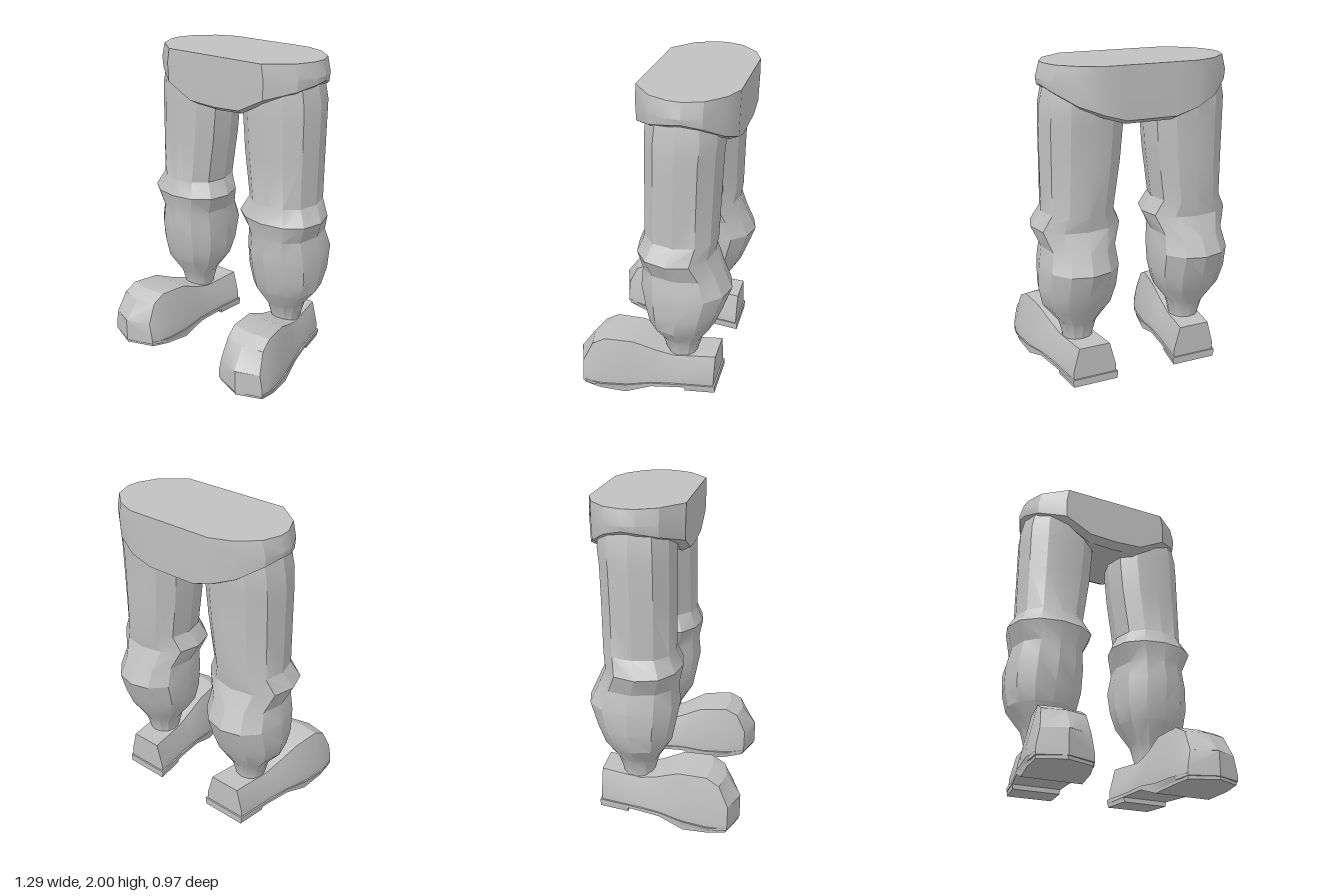
import * as THREE from 'three';
import { toCreasedNormals } from 'three/addons/utils/BufferGeometryUtils.js';

const grey = new THREE.MeshStandardMaterial({ color: 0xc0c0c0 });
grey.name = 'plain grey';

// Skins a list of closed rings and caps both ends; faces are turned outward.
function loft(rings, crease = 0.45) {
  const tris = [];
  const add = (a, b, c) => {
    const n = b.clone().sub(a).cross(c.clone().sub(a));
    if (n.length() > 1e-7) tris.push([a, b, c]);
  };
  const n = rings[0].length;
  for (let i = 0; i < rings.length - 1; i++) {
    for (let j = 0; j < n; j++) {
      const k = (j + 1) % n;
      const [a, b, c, d] = [rings[i][j], rings[i][k], rings[i + 1][k], rings[i + 1][j]];
      add(a, b, c);
      add(a, c, d);
    }
  }
  const cap = (ring, flip) => {
    const mid = ring.reduce((s, p) => s.add(p), new THREE.Vector3()).divideScalar(n);
    for (let j = 0; j < n; j++) {
      const k = (j + 1) % n;
      if (flip) add(mid, ring[k], ring[j]);
      else add(mid, ring[j], ring[k]);
    }
  };
  cap(rings[0], true);
  cap(rings[rings.length - 1], false);
  const volume = tris.reduce((s, [a, b, c]) => s + a.dot(b.clone().cross(c)), 0);
  const points = tris.flatMap(([a, b, c]) => (volume > 0 ? [a, b, c] : [a, c, b]));
  return toCreasedNormals(new THREE.BufferGeometry().setFromPoints(points), crease);
}

function part(name, geometry) {
  const mesh = new THREE.Mesh(geometry, grey);
  mesh.name = name;
  return mesh;
}

// Each leg ring: y, inner x, outer x, back z, front z
const LEG = [
  [1.86, 0.11, 0.555, -0.40, 0.05],
  [1.75, 0.08, 0.58, -0.41, 0.06],
  [1.64, 0.075, 0.585, -0.40, 0.06],
  [1.42, 0.095, 0.585, -0.395, 0.06],
  [1.12, 0.14, 0.585, -0.39, 0.06],
  [1.02, 0.085, 0.645, -0.375, 0.10],
  [0.9, 0.14, 0.595, -0.43, 0.075],
  [0.78, 0.13, 0.62, -0.485, 0.085],
  [0.63, 0.135, 0.625, -0.435, 0.055],
  [0.51, 0.165, 0.6, -0.39, 0.03],
  [0.38, 0.26, 0.5, -0.31, -0.05],
  [0.28, 0.285, 0.475, -0.28, -0.08],
  [0.22, 0.285, 0.475, -0.28, -0.08],
];

function leg(side) {
  const sides = 12;
  return loft(LEG.map(([y, x0, x1, z0, z1]) => {
    const ring = [];
    for (let i = 0; i < sides; i++) {
      const a = (i / sides) * Math.PI * 2;
      const x = (x0 + x1) / 2 + Math.cos(a) * (x1 - x0) / 2;
      // flattened front and back
      const s = Math.sign(Math.sin(a)) * Math.pow(Math.abs(Math.sin(a)), 0.85);
      ring.push(new THREE.Vector3(side * x, y, (z0 + z1) / 2 + s * (z1 - z0) / 2));
    }
    return ring;
  }));
}

// Foot sections: z, bottom y, top y, half width below, half width above, bow of the middle
const UPPER = [
  [-0.41, 0.06, 0.28, 0.14, 0.1, 0],
  [-0.15, 0.06, 0.265, 0.15, 0.1, 0],
  [-0.04, 0.06, 0.3, 0.165, 0.11, 0],
  [0.1, 0.05, 0.365, 0.18, 0.13, 0],
  [0.28, 0.04, 0.375, 0.19, 0.135, 0.02],
  [0.36, 0.04, 0.33, 0.185, 0.135, 0.03],
  [0.42, 0.05, 0.2, 0.17, 0.15, 0.06],
  [0.48, 0.05, 0.2, 0, 0, 0],
];
const SOLE = [
  [-0.42, 0.05, 0.075, 0.15, 0.15, 0],
  [-0.2, 0.055, 0.075, 0.158, 0.158, 0],
  [-0.02, 0.055, 0.08, 0.175, 0.175, 0],
  [0.14, 0, 0.06, 0.185, 0.192, 0],
  [0.3, 0.015, 0.06, 0.185, 0.2, 0.02],
  [0.41, 0.03, 0.065, 0.165, 0.175, 0.06],
  [0.475, 0.03, 0.065, 0, 0, 0],
];
const HEEL = [
  [-0.42, 0.025, 0.06, 0.145, 0.15, 0],
  [-0.23, 0.025, 0.06, 0.15, 0.155, 0],
];

function footPiece(sections, side) {
  return loft(sections.map(([z, y0, y1, w0, w1, bow]) => {
    const low = y0 + (y1 - y0) * 0.3;
    const outline = [[-w0, y0], [-w0, low], [-w1, y1], [0, y1], [w1, y1], [w0, low], [w0, y0], [0, y0]];
    // toes turn slightly outward
    return outline.map(([u, y]) => new THREE.Vector3(
      side * (0.47 + (z - 0.48) * 0.14 + u), y, z + (u === 0 ? bow : 0)));
  }), 0.4);
}

// Half outline of the waist, front middle to back middle: x, z, hem height
const WAIST = [
  [0, 0.11, 1.69], [0.18, 0.11, 1.7], [0.35, 0.11, 1.79], [0.5, -0.01, 1.84],
  [0.555, -0.13, 1.87], [0.56, -0.21, 1.88], [0.52, -0.32, 1.85], [0.41, -0.42, 1.78],
  [0.28, -0.47, 1.73], [0.15, -0.47, 1.69], [0, -0.47, 1.69],
];

function pelvis() {
  const mirrored = WAIST.slice(1, -1).reverse().map(([x, z, h]) => [-x, z, h]);
  const outline = [...WAIST, ...mirrored];
  const level = (sx, sz, y) => outline.map(([x, z, h]) =>
    new THREE.Vector3(x * sx, y(h), -0.18 + (z + 0.18) * sz));
  return loft([
    level(1, 1, () => 2),
    level(1.045, 1, () => 1.91),
    level(1.035, 0.99, (h) => h),
    level(0.96, 0.8, (h) => h - 0.03),
    level(0.5, 0.4, () => 1.68),
  ]);
}

export function createModel() {
  const model = new THREE.Group();
  model.name = 'trousers and boots';
  model.add(part('pelvis', pelvis()));
  for (const [label, side] of [['left', 1], ['right', -1]]) {
    const limb = new THREE.Group();
    limb.name = label + 'Leg';
    limb.add(
      part(label + 'TrouserLeg', leg(side)),
      part(label + 'BootUpper', footPiece(UPPER, side)),
      part(label + 'BootSole', footPiece(SOLE, side)),
      part(label + 'BootHeel', footPiece(HEEL, side)),
    );
    model.add(limb);
  }
  return model;
}
